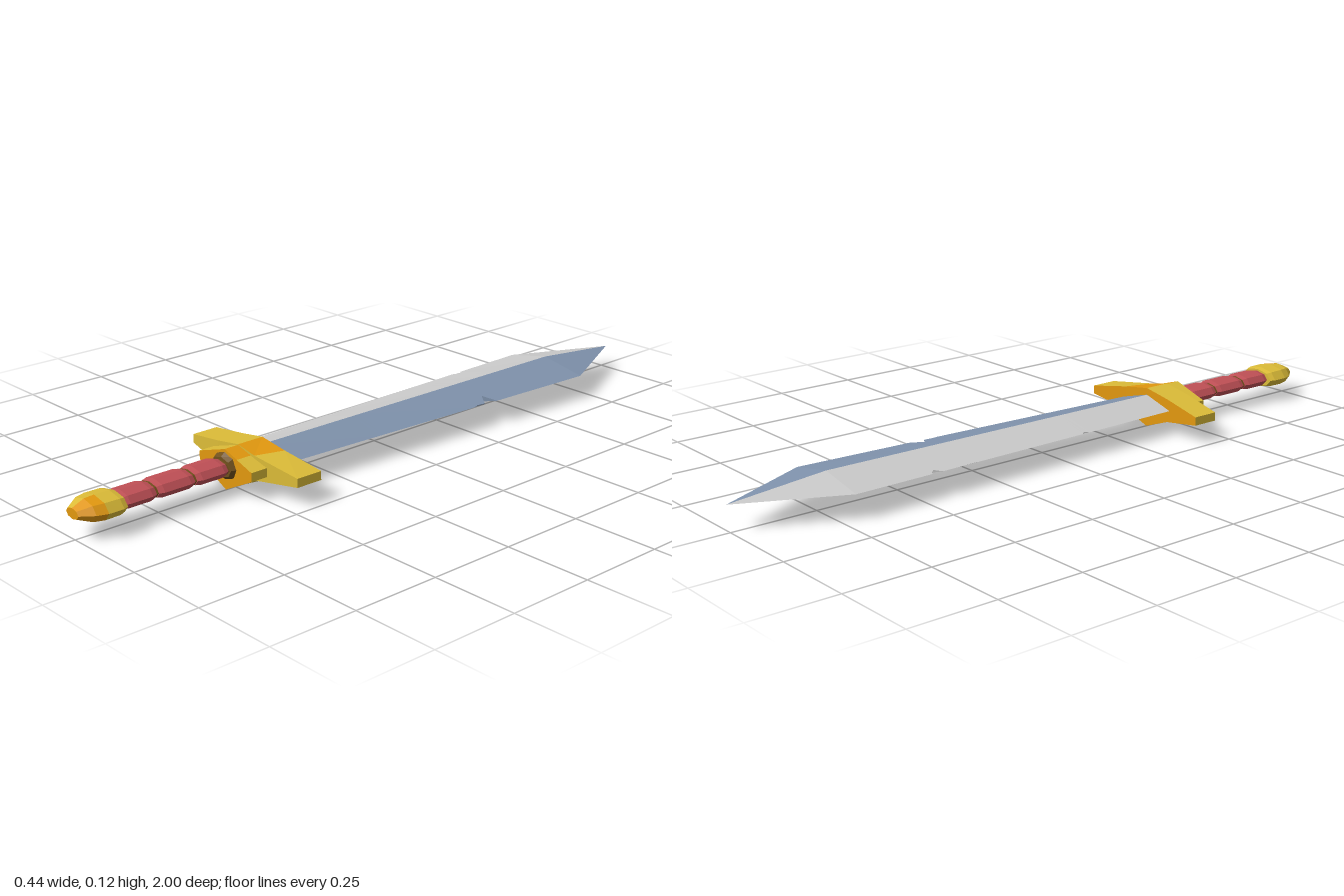
import * as THREE from 'three';

const GOLD = 0xdcbc38, ORANGE = 0xe2980f, RED = 0xc05056, BROWN = 0x70501c, STEEL = 0xcccccc, BLUE = 0x8093ad;
const MID = 0.069; // height of the sword's middle plane

// Mesh of flat facets; each polygon is listed counter-clockwise from outside
function facets(name, polys, color) {
  const pos = [];
  const a = new THREE.Vector3(), b = new THREE.Vector3(), c = new THREE.Vector3();
  for (const p of polys) {
    for (let i = 1; i < p.length - 1; i++) {
      a.fromArray(p[0]);
      b.fromArray(p[i]).sub(a);
      c.fromArray(p[i + 1]).sub(a);
      if (b.cross(c).length() > 1e-9) pos.push(...p[0], ...p[i], ...p[i + 1]);
    }
  }
  const geo = new THREE.BufferGeometry();
  geo.setAttribute('position', new THREE.Float32BufferAttribute(pos, 3));
  geo.computeVertexNormals();
  const mesh = new THREE.Mesh(geo, new THREE.MeshStandardMaterial({ color, flatShading: true }));
  mesh.name = name;
  return mesh;
}

// Closed loft through rings; colorAt(i, j) picks a facet's colour, i = 'start' / 'end' for the caps
function loft(name, rings, colorAt) {
  const byColor = new Map();
  const add = (color, poly) => {
    if (!byColor.has(color)) byColor.set(color, []);
    byColor.get(color).push(poly);
  };
  for (let i = 0; i < rings.length - 1; i++) {
    const r = rings[i], s = rings[i + 1], n = r.length;
    for (let j = 0; j < n; j++) {
      const k = (j + 1) % n;
      add(colorAt(i, j), [r[j], r[k], s[k], s[j]]);
    }
  }
  add(colorAt('start', 0), [...rings[0]].reverse());
  add(colorAt('end', 0), rings[rings.length - 1]);
  const group = new THREE.Group();
  group.name = name;
  for (const [color, polys] of byColor) group.add(facets(name + 'Facets', polys, color));
  return group;
}

// Eight-sided oval ring across z
function oval(z, rx, ry, cx = -0.005, cy = MID) {
  return Array.from({ length: 8 }, (_, i) => {
    const t = (i / 8) * Math.PI * 2;
    return [cx + rx * Math.cos(t), cy + ry * Math.sin(t), z];
  });
}

// Diamond-section blade with nicked edges
function createBlade() {
  const { lerp } = THREE.MathUtils;
  const stations = [ // z, depth of left nick (-x), depth of right nick (+x)
    [-0.71, 0, 0], [-0.47, 0, 0], [-0.455, 0.017, 0], [-0.435, 0, 0],
    [-0.36, 0, 0], [-0.34, 0.001, 0.042], [-0.315, 0, 0.004], [-0.29, 0, 0.006], [-0.27, 0, 0],
    [0.06, 0, 0], [0.07, 0.008, 0], [0.085, 0, 0], [0.43, 0, 0],
  ];
  const h = 0.0275;
  const rings = [Array.from({ length: 6 }, () => [0.015, MID, -1])];
  for (const [z, nl, nr] of stations) {
    const t = (z + 0.71) / 1.11;
    const ridge = lerp(0.012, 0, t), left = lerp(-0.125, -0.1, t), right = lerp(0.155, 0.1, t);
    const hl = (h * nl) / (ridge - left), hr = (h * nr) / (right - ridge);
    rings.push([
      [ridge, MID + h, z], [left + nl, MID + hl, z], [left + nl, MID - hl, z],
      [ridge, MID - h, z], [right - nr, MID - hr, z], [right - nr, MID + hr, z],
    ]);
  }
  return loft('blade', rings, (i, j) => (j < 3 ? STEEL : BLUE));
}

// Cross guard: wide bar tapering to both tips
function createGuardBar() {
  const section = (xBack, xFront, top, bottom, back, front) => [
    [xBack, top, back], [xFront, top, front], [xFront, bottom, front], [xBack, bottom, back],
  ];
  const rings = [
    section(-0.22, -0.22, 0.08, 0.055, 0.39, 0.47),
    section(-0.09, -0.09, 0.102, 0.033, 0.403, 0.485),
    section(0, 0, 0.117, 0, 0.405, 0.487),
    section(0.09, 0.065, 0.103, 0.033, 0.403, 0.485),
    section(0.22, 0.22, 0.08, 0.055, 0.39, 0.47),
  ];
  // back faces and one top facet are the deeper tone
  return loft('guardBar', rings, (i, j) => (j === 3 || (i === 2 && j === 0) ? ORANGE : GOLD));
}

// Shorter plate in front of the bar
function createGuardPlate() {
  const outline = [
    [0, 0.1155], [-0.11, 0.08], [-0.11, 0.055], [0, 0.001], [0.11, 0.055], [0.11, 0.08], [0.05, 0.0994],
  ];
  const rings = [0.475, 0.532].map((z) => outline.map(([x, y]) => [x, y, z]));
  return loft('guardPlate', rings, (i, j) => (i === 'end' || j === 6 ? ORANGE : GOLD));
}

export function createModel() {
  const model = new THREE.Group();
  model.name = 'sword';
  model.add(createBlade(), createGuardBar(), createGuardPlate());

  // Collar and the core seen in the gaps between the wraps
  model.add(loft('collar', [oval(0.525, 0.05, 0.044, 0), oval(0.545, 0.042, 0.028, 0)], () => BROWN));
  model.add(loft('gripCore', [oval(0.53, 0.041, 0.02), oval(0.89, 0.041, 0.02)], () => BROWN));

  // Three bulging grip wraps
  for (const [z0, z1] of [[0.55, 0.65], [0.657, 0.77], [0.777, 0.875]]) {
    const rings = [
      oval(z0, 0.043, 0.021), oval(z0 + 0.015, 0.048, 0.0245),
      oval(z1 - 0.015, 0.048, 0.0245), oval(z1, 0.043, 0.021),
    ];
    model.add(loft('gripWrap', rings, () => RED));
  }

  // Faceted pommel
  const pommel = [
    oval(0.875, 0.058, 0.027), oval(0.89, 0.064, 0.031), oval(0.935, 0.064, 0.032),
    oval(0.965, 0.054, 0.03), oval(1, 0.027, 0.015),
  ];
  model.add(loft('pommel', pommel, (i, j) => (i === 'end' || (i >= 2 && (j < 2 || j > 6)) ? ORANGE : GOLD)));
  return model;
}
